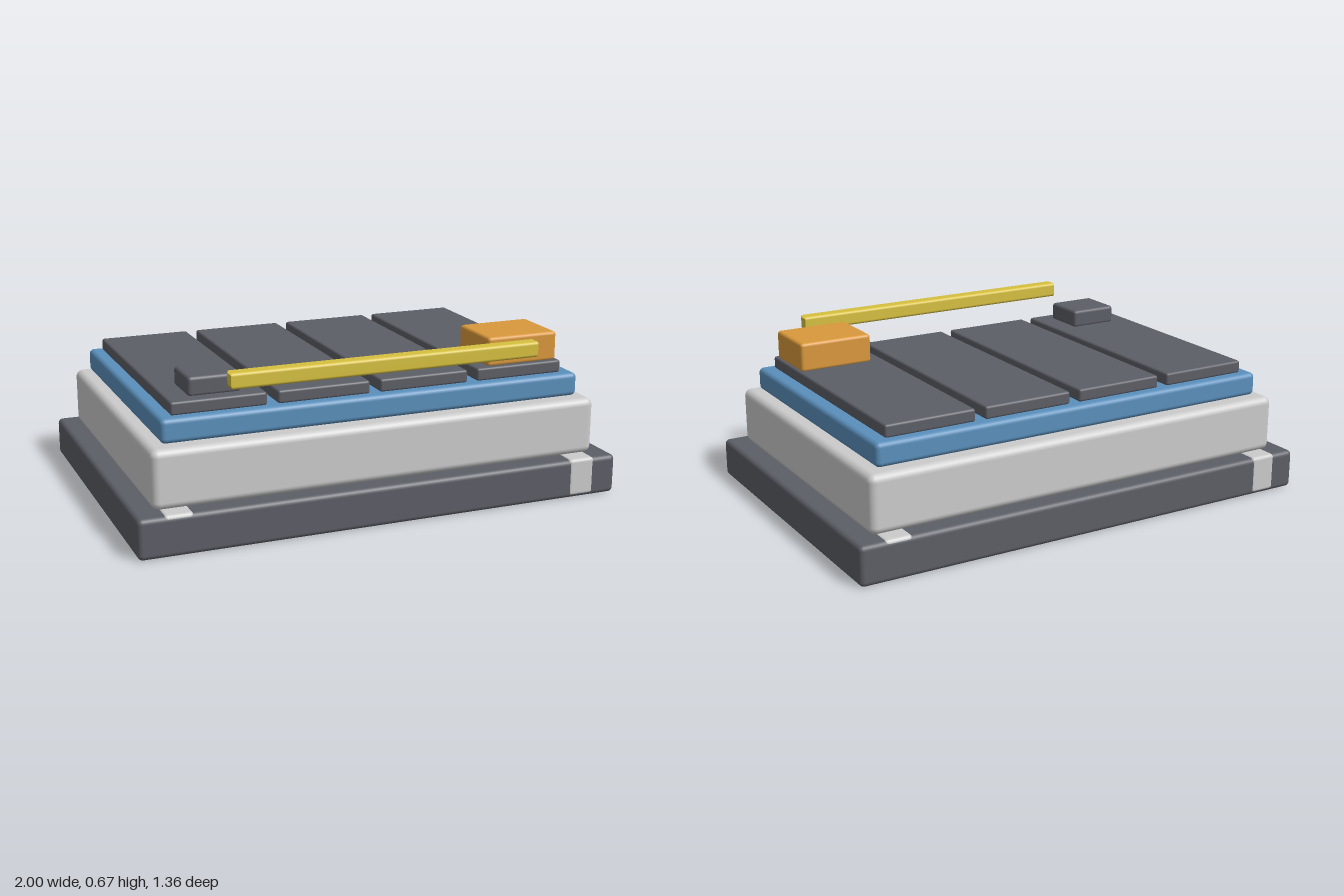
import * as THREE from 'three';
import { RoundedBoxGeometry } from 'three/addons/geometries/RoundedBoxGeometry.js';

const paint = (color) => new THREE.MeshStandardMaterial({ color });
const grey = paint(0xcccccc);
const dark = paint(0x5c5e66);
const blue = paint(0x5a8fbb);
const orange = paint(0xd9983c);
const yellow = paint(0xd6c040);

// Rounded block given by its extents on each axis
function block(name, [x0, x1], [y0, y1], [z0, z1], radius, material) {
  const geometry = new RoundedBoxGeometry(x1 - x0, y1 - y0, z1 - z0, 3, radius);
  const mesh = new THREE.Mesh(geometry, material);
  mesh.position.set((x0 + x1) / 2, (y0 + y1) / 2, (z0 + z1) / 2);
  mesh.name = name;
  return mesh;
}

export function createModel() {
  const model = new THREE.Group();
  model.name = 'layeredBlock';

  // Stacked layers, from the ground up
  model.add(
    block('base', [-1, 1], [0, 0.16], [-0.68, 0.68], 0.02, dark),
    block('body', [-0.925, 0.925], [0.16, 0.392], [-0.62, 0.62], 0.03, grey),
    block('deck', [-0.872, 0.872], [0.395, 0.49], [-0.567, 0.567], 0.02, blue),
  );

  // Corner clips: two opposite ones show on the base's long faces, the others only on top
  for (const sx of [-1, 1]) {
    for (const sz of [-1, 1]) {
      const depth = sx === sz ? 0.682 : 0.678;
      const z = sz > 0 ? [0.55, depth] : [-depth, -0.55];
      const x = sx > 0 ? [0.785, 0.9] : [-0.9, -0.785];
      model.add(block('clip', x, [0.008, 0.163], z, 0.015, grey));
    }
  }

  // Four panels side by side on the deck
  for (let i = 0; i < 4; i++) {
    const x = -0.822 + i * 0.42;
    model.add(block('panel', [x, x + 0.377], [0.488, 0.54], [-0.525, 0.525], 0.01, dark));
  }

  // Small units on the panels
  model.add(
    block('largeUnit', [0.495, 0.805], [0.535, 0.655], [0.25, 0.503], 0.014, orange),
    block('smallUnit', [-0.737, -0.53], [0.535, 0.612], [0.28, 0.47], 0.014, dark),
  );

  // Front rail: rounded cross-section with square ends
  const rail = block('rail', [-0.03, 0.03], [0.603, 0.665], [0.603, 0.665], 0.012, yellow);
  rail.scale.x = 0.63 / 0.03;
  const ends = rail.geometry.attributes.position;
  for (let i = 0; i < ends.count; i++) {
    const x = ends.getX(i);
    ends.setX(i, Math.sign(x) * (0.03 - (0.03 - Math.abs(x)) * 0.02));
  }
  model.add(rail);

  return model;
}
